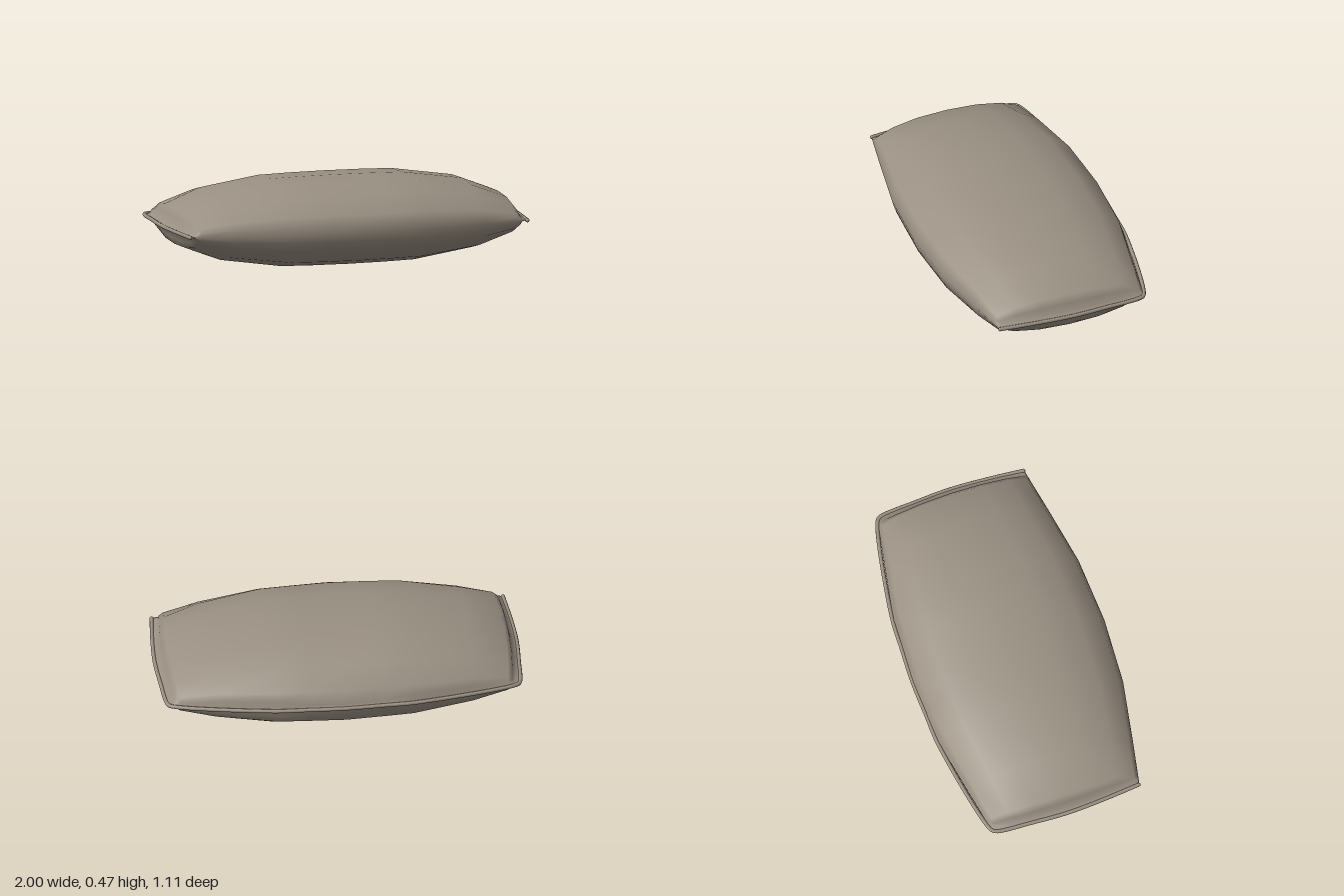
import * as THREE from 'three';
import { mergeVertices } from 'three/addons/utils/BufferGeometryUtils.js';

const MID = 0.236; // height of the seam

// Linear lookup in a list of [x, y] pairs
function lookup(table, x) {
  for (let i = 1; i < table.length; i++) {
    const [x0, y0] = table[i - 1], [x1, y1] = table[i];
    if (x <= x1) return y0 + (y1 - y0) * (x - x0) / (x1 - x0);
  }
  return table[table.length - 1][1];
}

const mirrored = (list) => [...list.slice(1).reverse().map((n) => -n), ...list];

// Half-depth of the outline along x, and the two puff profiles
const depth = [[0, 0.552], [0.4, 0.53], [0.96, 0.422], [1, 0.414]];
const puffX = [[0, 0.235], [0.2, 0.234], [0.38, 0.23], [0.72, 0.18], [0.92, 0.1], [0.945, 0.06], [0.957, 0.015], [0.985, 0.005]];
const puffZ = [[0, 1], [0.4, 0.945], [0.73, 0.745], [0.945, 0.4], [0.975, 0.2], [1, 0]];

function cushionGeometry() {
  const xs = mirrored(puffX.map((p) => p[0]));
  const vs = mirrored(puffZ.map((p) => p[0]));
  const positions = [], index = [];
  for (const side of [1, -1]) {
    const base = positions.length / 3;
    for (const s of xs) {
      for (const v of vs) {
        const x = s * (1 - 0.027 * v * v);
        let h = lookup(puffX, Math.abs(s)) * lookup(puffZ, Math.abs(v));
        // Small tuck above and below the middle of the back seam
        if (v < -0.96 && v > -1 && Math.abs(s) < 0.3) h *= 0.4;
        // Slim gap at the back seam, closed by the piping
        if (v === -1) h = 0.004;
        positions.push(x, MID + side * h, v * lookup(depth, Math.abs(x)));
      }
    }
    const n = vs.length;
    for (let i = 0; i < xs.length - 1; i++) {
      for (let j = 0; j < n - 1; j++) {
        const a = base + i * n + j, b = a + 1, c = a + n, d = c + 1;
        if (side > 0) index.push(a, b, c, b, d, c);
        else index.push(a, c, b, b, c, d);
      }
    }
  }
  let geometry = new THREE.BufferGeometry();
  geometry.setAttribute('position', new THREE.Float32BufferAttribute(positions, 3));
  geometry.setIndex(index);
  geometry = mergeVertices(geometry, 1e-4); // joins both halves along the front fold
  geometry.computeVertexNormals();
  return geometry;
}

export function createModel() {
  const model = new THREE.Group();
  model.name = 'pillow';
  const fabric = new THREE.MeshStandardMaterial({ color: 0x9a9083, side: THREE.DoubleSide });
  fabric.name = 'taupe fabric';

  // Stuffed body
  const cushion = new THREE.Mesh(cushionGeometry(), fabric);
  cushion.name = 'cushion';
  model.add(cushion);

  // Piping along both ends and the back
  const half = [[0.96, 0.418], [0.979, 0.2], [0.988, 0], [0.979, -0.2], [0.962, -0.405], [0.945, -0.425], [0.4, -0.533], [0.2, -0.543]];
  const route = [...half, [0, -0.55], ...half.slice().reverse().map(([x, z]) => [-x, z])];
  const points = route.map(([x, z]) => new THREE.Vector3(x, MID, z));
  const curve = new THREE.CatmullRomCurve3(points, false, 'centripetal');
  const piping = new THREE.Mesh(new THREE.TubeGeometry(curve, 160, 0.011, 8), fabric);
  piping.name = 'piping';
  model.add(piping);

  // Rounded piping ends at the front corners
  for (const side of [1, -1]) {
    const end = new THREE.Mesh(new THREE.SphereGeometry(0.011, 8, 6), fabric);
    end.position.set(side * 0.96, MID, 0.418);
    end.name = side > 0 ? 'leftPipingEnd' : 'rightPipingEnd';
    model.add(end);
  }
  return model;
}
